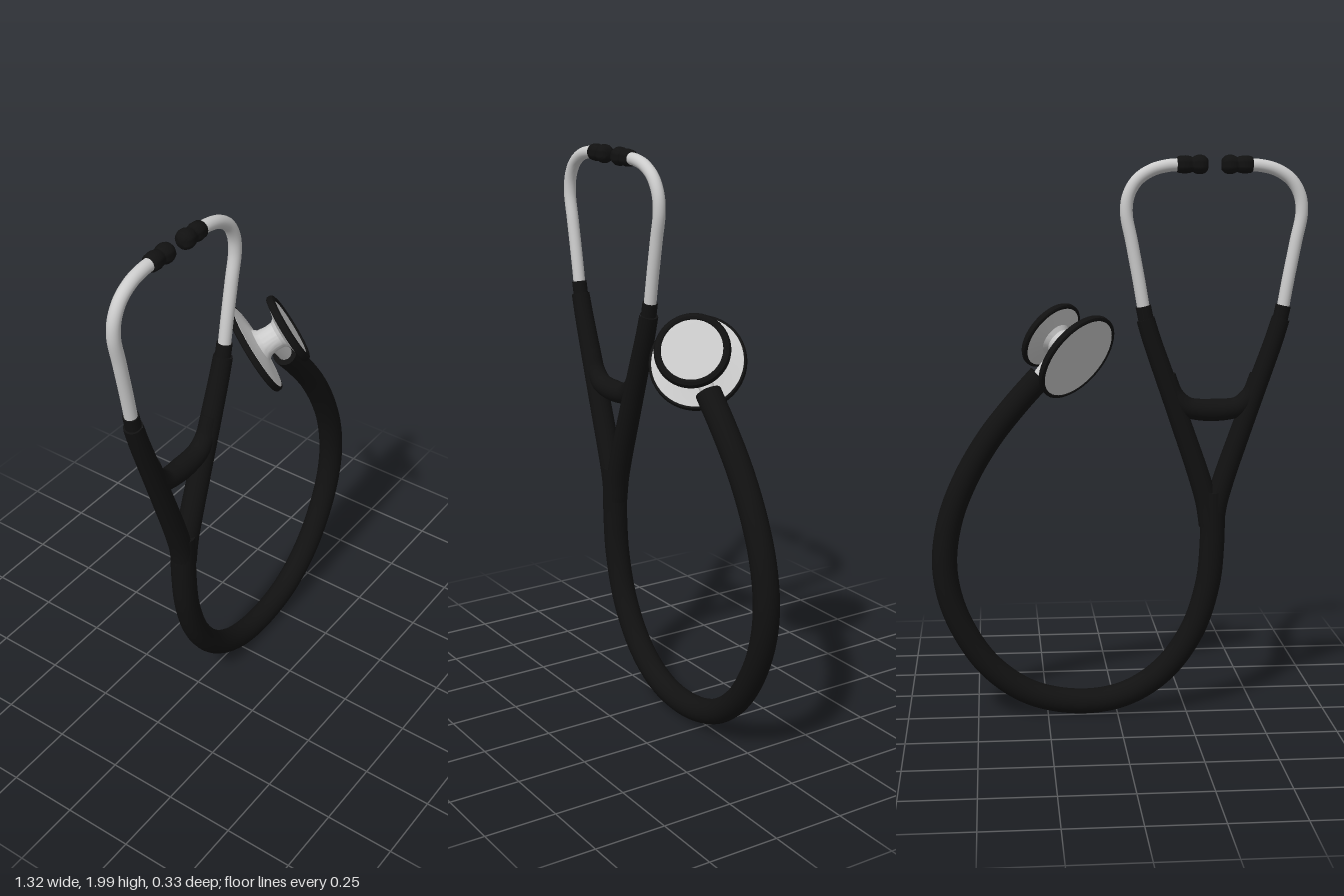
import * as THREE from 'three';
import { toCreasedNormals } from 'three/addons/utils/BufferGeometryUtils.js';

const metal = new THREE.MeshStandardMaterial({ color: 0xcccccc });
const rubber = new THREE.MeshStandardMaterial({ color: 0x111111 });
const Z = 0.015;      // plane of the tubing
const MID = -0.337;   // symmetry line of the headset

// Round tube through [x, y] points; radius(u) tapers it, depth(u) stretches it in z
function sweep(name, pts, radius, material, segments = 60, depth = () => 1) {
  const curve = new THREE.CatmullRomCurve3(pts.map(([x, y]) => new THREE.Vector3(x, y, 0)), false, 'centripetal');
  const sides = 20;
  const geo = new THREE.TubeGeometry(curve, segments, 1, sides);
  const pos = geo.attributes.position;
  const v = new THREE.Vector3();
  for (let i = 0; i <= segments; i++) {
    const u = i / segments, c = curve.getPointAt(u);
    for (let j = 0; j <= sides; j++) {
      const k = i * (sides + 1) + j;
      v.fromBufferAttribute(pos, k).sub(c).multiplyScalar(radius(u));
      v.z *= depth(u);
      v.add(c);
      pos.setXYZ(k, v.x, v.y, v.z);
    }
  }
  const group = new THREE.Group();
  group.name = name;
  group.add(new THREE.Mesh(geo, material));
  // Flat caps on both ends
  for (const u of [0, 1]) {
    const cap = new THREE.Mesh(new THREE.CircleGeometry(radius(u), sides), material);
    const p = curve.getPointAt(u), t = curve.getTangentAt(u).multiplyScalar(u ? 1 : -1);
    cap.position.copy(p);
    cap.lookAt(p.clone().add(t));
    group.add(cap);
  }
  group.children.forEach((m) => { m.name = name; });
  group.position.z = Z;
  return group;
}

// Turned part from [radius, height] points, listed bottom to top
function turned(name, profile, material, crease = 0.6, sides = 48) {
  const geo = new THREE.LatheGeometry(profile.map(([r, y]) => new THREE.Vector2(r, y)), sides);
  const mesh = new THREE.Mesh(toCreasedNormals(geo, crease), material);
  mesh.name = name;
  return mesh;
}

// One side of the headset; s = 1 is the -x side, s = -1 its mirror
function headsetSide(s) {
  const side = new THREE.Group();
  side.name = s > 0 ? 'rightHeadset' : 'leftHeadset';
  const m = (pts) => pts.map(([x, y]) => [MID + s * (x - MID), y]);

  // Metal ear tube
  side.add(sweep('earTube', m([[-0.575, 1.43], [-0.595, 1.55], [-0.623, 1.7], [-0.642, 1.8], [-0.635, 1.86],
    [-0.605, 1.912], [-0.555, 1.946], [-0.5, 1.961], [-0.44, 1.965]]), () => 0.022, metal));

  // Collar where the metal enters the rubber
  side.add(sweep('collar', m([[-0.566, 1.4], [-0.583, 1.48]]), () => 0.027, rubber, 2));

  // Rubber arm of the Y
  side.add(sweep('yokeArm', m([[-0.575, 1.435], [-0.552, 1.36], [-0.508, 1.235], [-0.467, 1.12], [-0.425, 1.0],
    [-0.384, 0.88], [-0.355, 0.78], [-0.342, 0.7]]), (u) => 0.032 + 0.008 * u, rubber, 40,
    (u) => 1.05 + 0.08 * Math.sin(Math.PI * u)));

  // Ear tip
  const tip = turned('earTip', [[0, 0], [0.025, 0], [0.029, 0.006], [0.031, 0.03], [0.028, 0.047], [0.025, 0.054],
    [0.029, 0.06], [0.033, 0.072], [0.033, 0.085], [0.029, 0.097], [0.02, 0.106], [0, 0.109]], rubber, 1, 24);
  tip.position.set(MID + s * (-0.468 - MID), 1.965, Z);
  tip.rotation.z = -s * Math.PI / 2;
  side.add(tip);
  return side;
}

// Two-sided head, built along y and then tilted
function chestPiece() {
  const head = new THREE.Group();
  head.name = 'chestPiece';

  // Flared metal body with both dishes
  head.add(turned('body', [[0, -0.079], [0.157, -0.079], [0.161, -0.064], [0.158, -0.058], [0.1, -0.052],
    [0.062, -0.044], [0.05, -0.03], [0.046, 0], [0.048, 0.026], [0.06, 0.04], [0.09, 0.048], [0.121, 0.056],
    [0.118, 0.06], [0.106, 0.075], [0, 0.077]], metal));

  // Thin rim of the large side
  head.add(turned('largeRim', [[0.155, -0.079], [0.157, -0.082], [0.163, -0.082], [0.168, -0.078],
    [0.168, -0.064], [0.165, -0.059], [0.156, -0.059]], rubber));

  // Thick rim of the small side
  head.add(turned('smallRim', [[0.117, 0.055], [0.125, 0.055], [0.129, 0.059], [0.129, 0.07], [0.124, 0.078],
    [0.114, 0.082], [0.106, 0.08], [0.104, 0.075]], rubber));

  const axis = new THREE.Vector3(0.63, 0.506, 0.587).normalize();
  head.quaternion.setFromUnitVectors(new THREE.Vector3(0, 1, 0), axis);
  head.position.set(0.187, 1.345, 0.014);
  return head;
}

export function createModel() {
  const model = new THREE.Group();
  model.name = 'stethoscope';

  // Long looping rubber tube
  model.add(sweep('mainTube', [[0.268, 1.238], [0.36, 1.135], [0.45, 1.02], [0.53, 0.885], [0.588, 0.74],
    [0.612, 0.59], [0.597, 0.46], [0.545, 0.325], [0.45, 0.19], [0.31, 0.092], [0.13, 0.055], [-0.03, 0.08],
    [-0.165, 0.165], [-0.27, 0.31], [-0.325, 0.48], [-0.34, 0.63], [-0.34, 0.82]], () => 0.0445, rubber, 140));

  // Headset sides and the web joining them
  model.add(headsetSide(1), headsetSide(-1));
  model.add(sweep('yokeWeb', [[-0.5, 1.235], [-0.473, 1.165], [-0.43, 1.125], [-0.385, 1.115], [MID, 1.113],
    [-0.289, 1.115], [-0.244, 1.125], [-0.201, 1.165], [-0.174, 1.235]],
    (u) => 0.04 - 0.008 * Math.abs(2 * u - 1), rubber));

  // Metal stem from the tube to the head
  model.add(sweep('stem', [[0.187, 1.345], [0.285, 1.218]], () => 0.026, metal, 2));
  model.add(chestPiece());
  return model;
}
